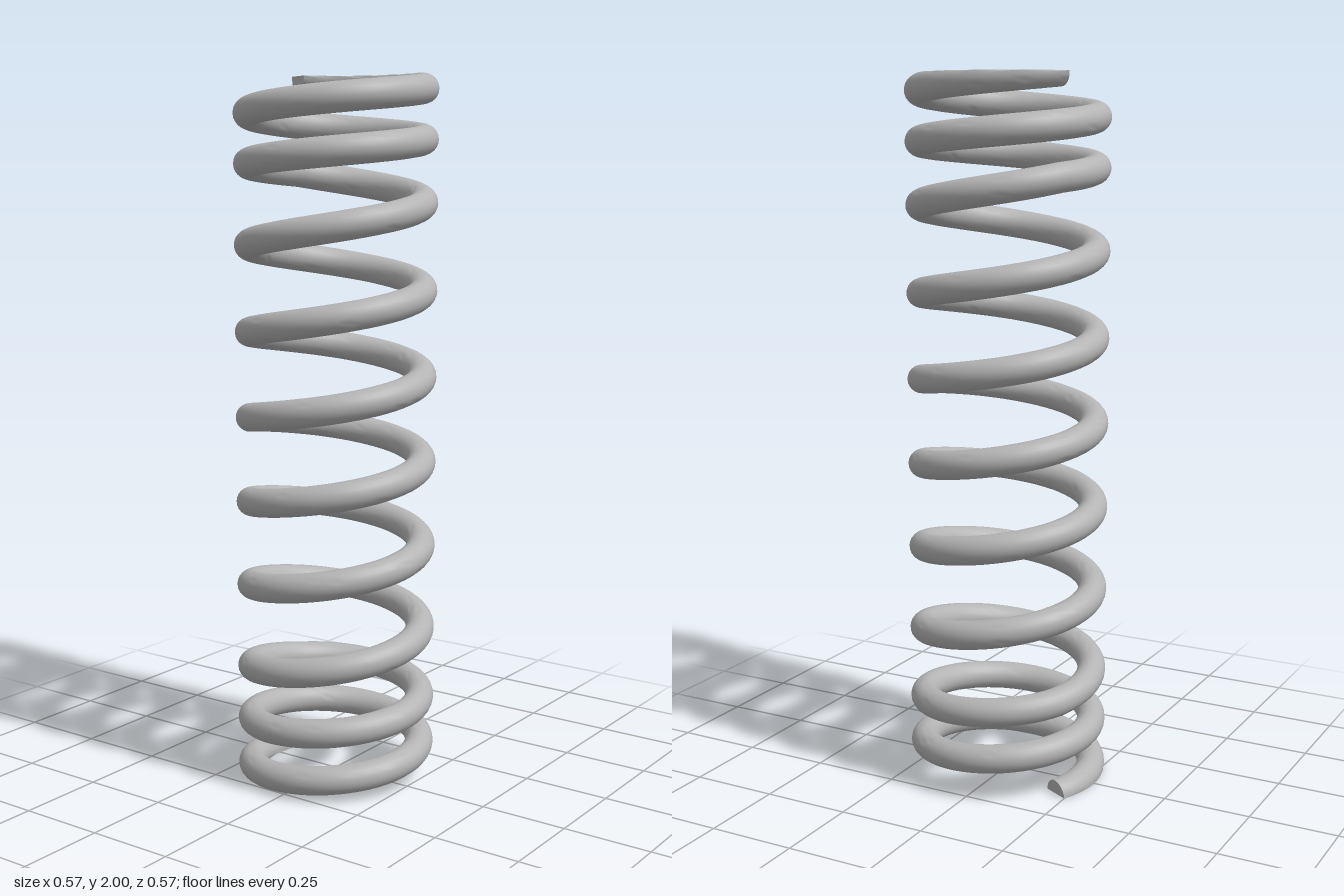
import * as THREE from 'three';
import { toCreasedNormals } from 'three/addons/utils/BufferGeometryUtils.js';

const HEIGHT = 2, COIL_R = 0.243, WIRE_R = 0.0405;
const TURNS = 10, START = THREE.MathUtils.degToRad(62);
const END_TURNS = 2, END_PITCH = 0.137;
const MID_PITCH = (HEIGHT - 2 * END_TURNS * END_PITCH) / (TURNS - 2 * END_TURNS);
const STEPS = 56 * TURNS, SIDES = 24;

// Wire centre height after u turns: tighter pitch at both ends
function heightAt(u) {
  if (u < END_TURNS) return u * END_PITCH;
  if (u > TURNS - END_TURNS) return HEIGHT - (TURNS - u) * END_PITCH;
  return END_TURNS * END_PITCH + (u - END_TURNS) * MID_PITCH;
}

// Round wire swept along the helix, ground flat at y = 0 and y = HEIGHT
function springGeometry() {
  const pos = [], index = [];
  const push = (p) => pos.push(p.x, THREE.MathUtils.clamp(p.y, 0, HEIGHT), p.z);
  const centre = new THREE.Vector3(), radial = new THREE.Vector3(), up = new THREE.Vector3();

  for (let i = 0; i <= STEPS; i++) {
    const u = (i / STEPS) * TURNS, t = START + u * Math.PI * 2;
    const c = Math.cos(t), s = Math.sin(t);
    const slope = (heightAt(u + 0.05) - heightAt(u - 0.05)) / (0.1 * Math.PI * 2 * COIL_R);
    centre.set(COIL_R * c, heightAt(u), -COIL_R * s);
    radial.set(c, 0, -s);
    up.set(slope * s, 1, slope * c).normalize();
    for (let j = 0; j < SIDES; j++) {
      const a = (j / SIDES) * Math.PI * 2;
      push(centre.clone()
        .addScaledVector(radial, WIRE_R * Math.cos(a))
        .addScaledVector(up, WIRE_R * Math.sin(a)));
    }
  }
  for (let i = 0; i < STEPS; i++) {
    for (let j = 0; j < SIDES; j++) {
      const k = (j + 1) % SIDES, a = i * SIDES, b = a + SIDES;
      index.push(a + j, b + j, a + k, b + j, b + k, a + k);
    }
  }
  // Cut faces at the two wire ends
  const last = STEPS * SIDES;
  for (let j = 1; j < SIDES - 1; j++) {
    index.push(0, j, j + 1);
    index.push(last, last + j + 1, last + j);
  }

  const geometry = new THREE.BufferGeometry();
  geometry.setAttribute('position', new THREE.Float32BufferAttribute(pos, 3));
  geometry.setIndex(index);
  return toCreasedNormals(geometry, 0.6);
}

export function createModel() {
  const steel = new THREE.MeshStandardMaterial({ color: 0xb4b4b4 });
  steel.name = 'steel grey';

  const coil = new THREE.Mesh(springGeometry(), steel);
  coil.name = 'springCoil';

  const group = new THREE.Group();
  group.name = 'compressionSpring';
  group.add(coil);
  return group;
}
